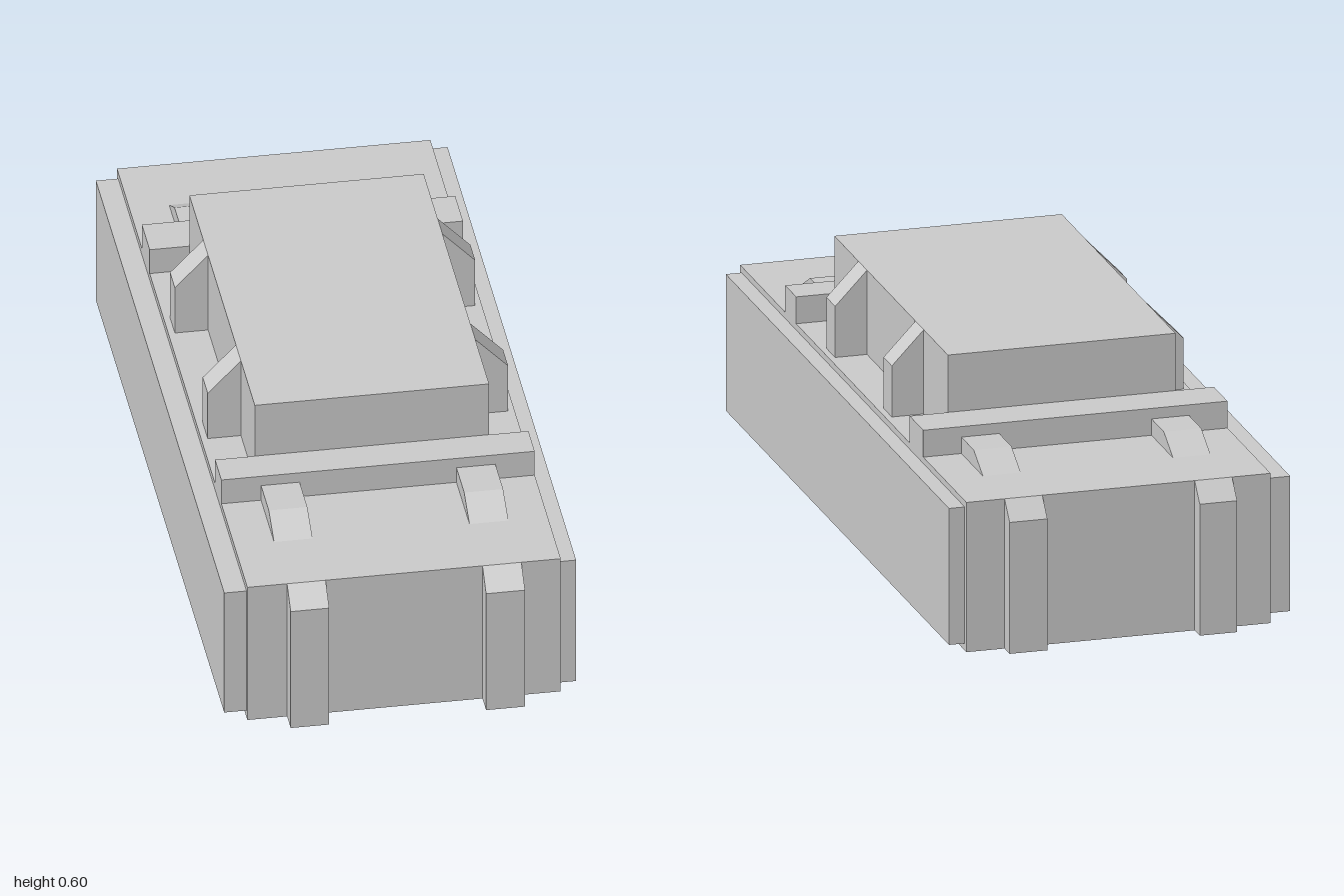
import * as THREE from 'three';

const material = new THREE.MeshStandardMaterial({ color: 0xcccccc, flatShading: true });

export function createModel() {
  const model = new THREE.Group();

  function add(name, geometry) {
    const mesh = new THREE.Mesh(geometry, material);
    mesh.name = name;
    model.add(mesh);
    return mesh;
  }

  // Box given by its limits on each axis
  function box(name, [x0, x1], [y0, y1], [z0, z1]) {
    add(name, new THREE.BoxGeometry(x1 - x0, y1 - y0, z1 - z0))
      .position.set((x0 + x1) / 2, (y0 + y1) / 2, (z0 + z1) / 2);
  }

  function prism(points, depth) {
    const shape = new THREE.Shape(points.map(([a, b]) => new THREE.Vector2(a, b)));
    return new THREE.ExtrudeGeometry(shape, { depth, bevelEnabled: false });
  }

  // Profile of (z, y) points swept from x0 to x1
  function prismAlongX(name, points, [x0, x1]) {
    const mesh = add(name, prism(points, x1 - x0));
    mesh.rotation.y = -Math.PI / 2;
    mesh.position.x = x1;
  }

  // Profile of (x, y) points swept from z0 to z1
  function prismAlongZ(name, points, [z0, z1]) {
    add(name, prism(points, z1 - z0)).position.z = z0;
  }

  const bodyX = [-0.38, 0.393];
  const deck = 0.384;

  // Main body and side panels
  box('body', bodyX, [0, deck], [-0.957, 0.947]);
  box('rightPanel', [-0.435, -0.38], [0.02, 0.366], [-0.94, 0.935]);
  box('leftPanel', [0.393, 0.433], [0.018, 0.368], [-0.943, 0.935]);

  // Raised centre block and the cross bars at its ends
  box('upperBlock', [-0.282, 0.296], [deck, 0.6], [-0.48, 0.475]);
  box('frontBar', bodyX, [deck, 0.453], [0.475, 0.567]);
  box('backBar', bodyX, [deck, 0.453], [-0.594, -0.48]);

  // End ribs and sloped deck ramps, front and back
  for (const x of [[-0.282, -0.187], [0.2, 0.296]]) {
    prismAlongX('frontRib', [[0.947, 0], [1, 0], [1, 0.337], [0.947, deck]], x);
    prismAlongX('backRib', [[-0.957, 0], [-1, 0], [-1, 0.337], [-0.957, deck]], x);
    prismAlongX('frontRamp', [[0.567, deck], [0.757, deck], [0.68, 0.426], [0.567, 0.426]], x);
    prismAlongX('backRamp', [[-0.594, deck], [-0.775, deck], [-0.698, 0.426], [-0.594, 0.426]], x);
  }

  // Chamfered ribs on the sides of the upper block
  for (const z of [[-0.277, -0.207], [0.2, 0.273]]) {
    prismAlongZ('rightRib', [[-0.282, deck], [-0.282, 0.6], [-0.364, 0.515], [-0.364, deck]], z);
    prismAlongZ('leftRib', [[0.296, deck], [0.296, 0.6], [0.377, 0.515], [0.377, deck]], z);
  }

  return model;
}
